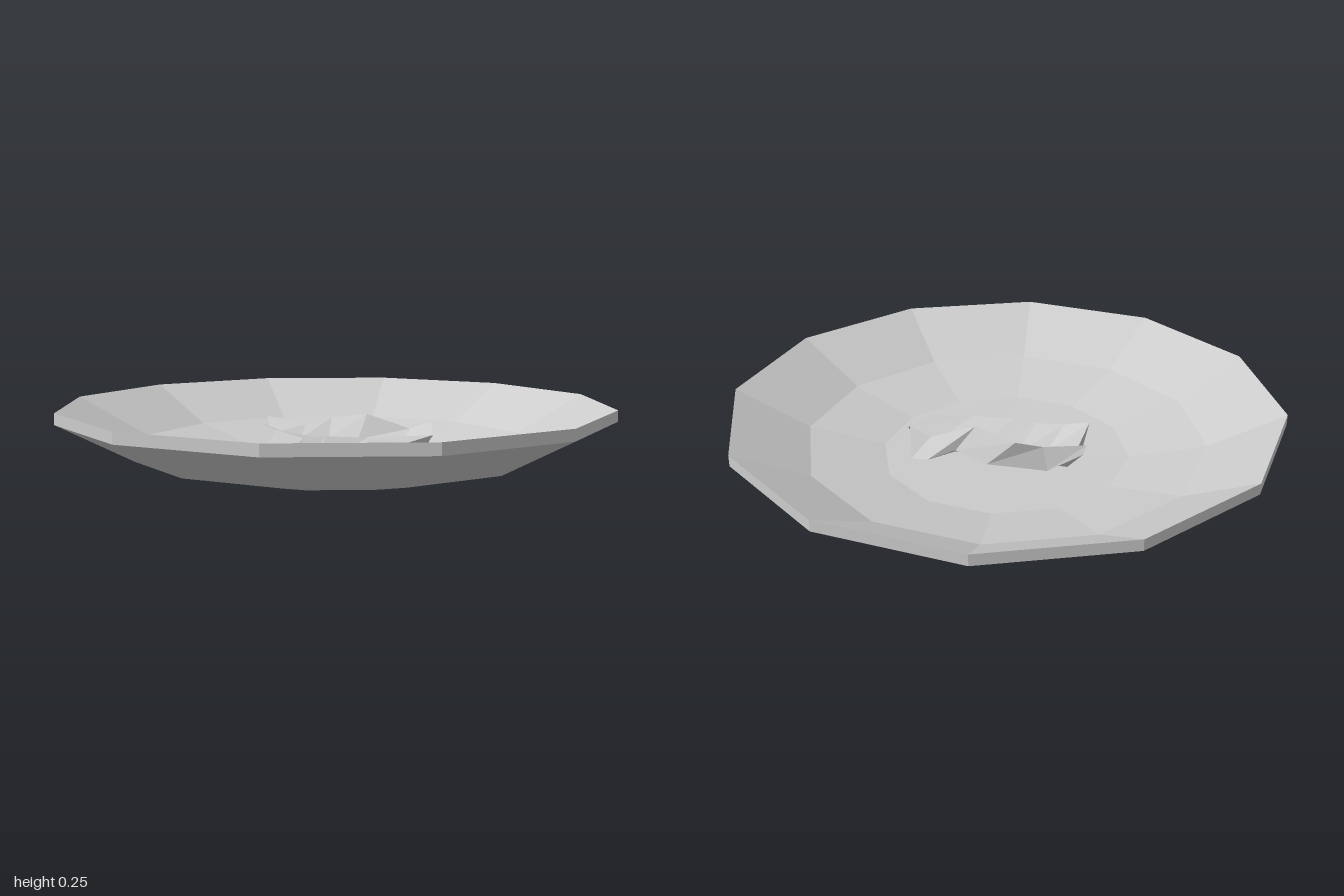
import * as THREE from 'three';

const material = () => new THREE.MeshStandardMaterial({ color: 0xcccccc, flatShading: true });

// Shallow twelve-sided dish: up the outside, over the rim, down the inside
function makeDish() {
  const outer = [[0, 0], [0.45, 0.012], [0.73, 0.07], [1, 0.21]];
  const wall = 0.04;
  const inner = outer.map(([r, y]) => [r, y + wall]).reverse();
  const profile = [...outer, ...inner].map(([r, y]) => new THREE.Vector2(r, y));
  const dish = new THREE.Mesh(new THREE.LatheGeometry(profile, 12), material());
  dish.name = 'dish';
  return dish;
}

// Crinkled strip: lengthwise rails from back to front, skinned into a closed body
function makeStrip() {
  const rails = [
    // back edge
    [[-0.335, 0.14, 0], [-0.22, 0.06, -0.05], [-0.05, 0.09, -0.18], [0.075, 0.115, -0.2], [0.14, 0.09, -0.28], [0.2, 0.085, -0.295]],
    // back ridge
    [[-0.342, 0.175, 0.011], [-0.2, 0.15, -0.05], [-0.13, 0.175, -0.12], [0.03, 0.2, -0.14], [0.17, 0.15, -0.22], [0.246, 0.18, -0.246]],
    // valley
    [[-0.27, 0.12, 0.07], [-0.18, 0.1, 0], [-0.1, 0.1, -0.07], [0.03, 0.11, -0.09], [0.18, 0.11, -0.17], [0.294, 0.14, -0.2]],
    // front ridge
    [[-0.26, 0.18, 0.16], [-0.165, 0.15, 0.14], [-0.05, 0.13, 0.12], [0.03, 0.14, 0.085], [0.165, 0.14, 0.01], [0.3, 0.13, -0.05]],
    // front foot
    [[-0.2, 0.038, 0.215], [-0.1, 0.038, 0.19], [-0.03, 0.038, 0.14], [0.03, 0.045, 0.125], [0.165, 0.045, 0.08], [0.358, 0.038, 0]],
  ];
  // underside, resting on the dish
  const stations = rails[0].length;
  rails.push(rails[0].map((_, s) => {
    const t = s / (stations - 1);
    return [-0.24 + 0.5 * t, 0.038, 0.04 - 0.17 * t];
  }));

  const count = rails.length;
  const positions = rails.flat(2);
  const id = (k, s) => (k % count) * stations + s;
  const index = [];
  for (let k = 0; k < count; k++) {
    for (let s = 0; s < stations - 1; s++) {
      index.push(id(k, s), id(k + 1, s), id(k, s + 1));
      index.push(id(k + 1, s), id(k + 1, s + 1), id(k, s + 1));
    }
  }
  // end caps fan out from the underside
  const base = count - 1, last = stations - 1;
  for (let k = 0; k < base - 1; k++) {
    index.push(id(base, 0), id(k + 1, 0), id(k, 0));
    index.push(id(base, last), id(k, last), id(k + 1, last));
  }

  const geometry = new THREE.BufferGeometry();
  geometry.setAttribute('position', new THREE.Float32BufferAttribute(positions, 3));
  geometry.setIndex(index);
  geometry.computeVertexNormals();
  const strip = new THREE.Mesh(geometry, material());
  strip.name = 'crinkledStrip';
  return strip;
}

export function createModel() {
  const model = new THREE.Group();
  model.name = 'dishWithStrip';
  model.add(makeDish(), makeStrip());
  return model;
}
